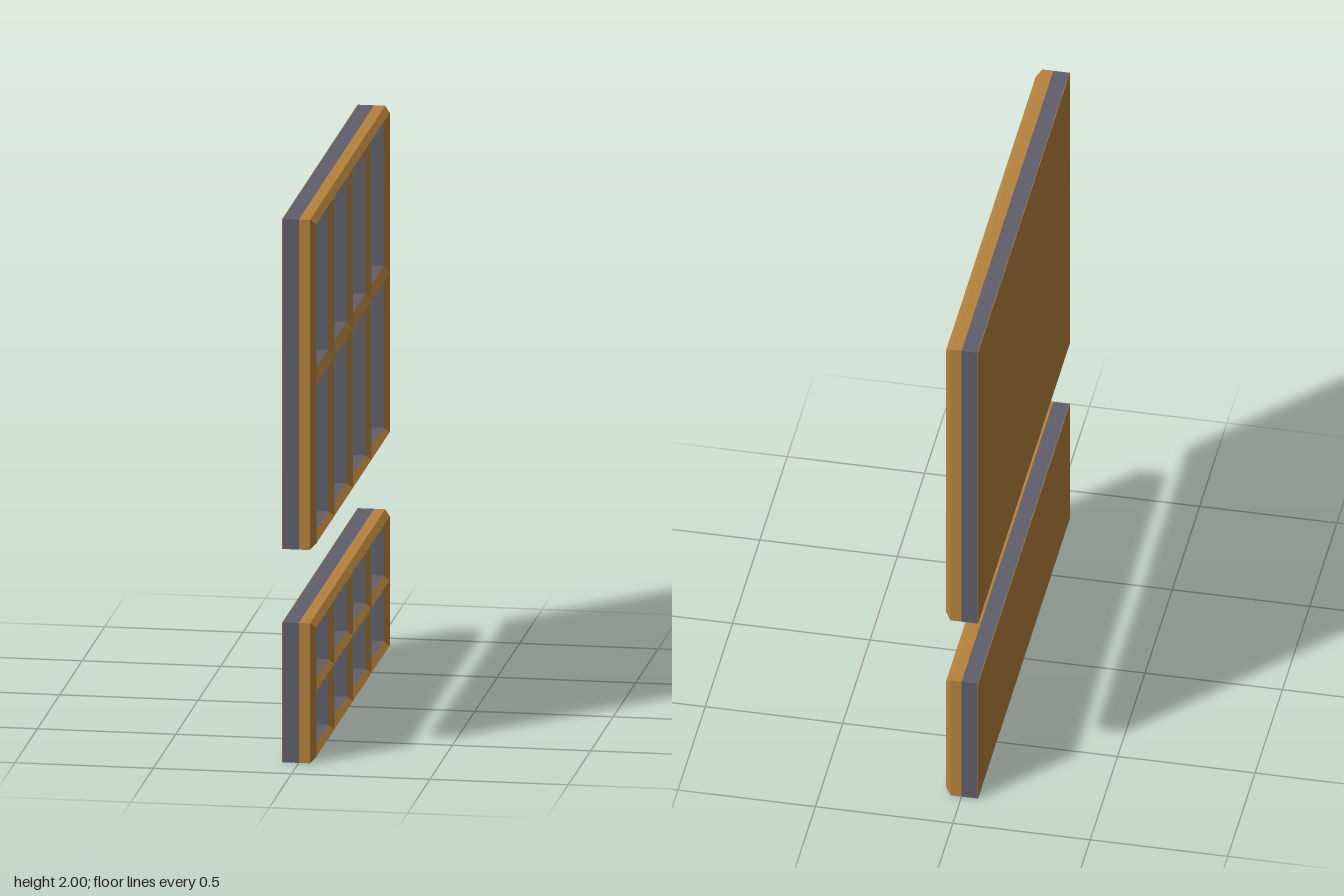
import * as THREE from 'three';

const BACK = -0.06, MID = 0, FACE = 0.04, RIDGE = 0.02; // depths along x
const HALF = 0.84;    // half length along z
const BORDER = 0.04;  // outer frame width
const MULLION = 0.037;

const wood = new THREE.MeshStandardMaterial({ color: 0xb5823c, flatShading: true });
const grey = new THREE.MeshStandardMaterial({ color: 0x5f5f6d, flatShading: true });
const glass = new THREE.MeshStandardMaterial({ color: 0x64afcd, flatShading: true });

function add(group, name, geometry, material) {
  const mesh = new THREE.Mesh(geometry, material);
  mesh.name = name;
  group.add(mesh);
  return mesh;
}

function rectangle(path, z0, y0, z1, y1) {
  path.moveTo(z0, y0);
  path.lineTo(z1, y0);
  path.lineTo(z1, y1);
  path.lineTo(z0, y1);
  path.closePath();
  return path;
}

// Plate in the z-y plane with rectangular holes, pushed out along +x
function pierced(outer, holes, x0, x1) {
  const shape = rectangle(new THREE.Shape(), ...outer);
  holes.forEach(h => shape.holes.push(rectangle(new THREE.Path(), ...h)));
  return new THREE.ExtrudeGeometry(shape, { depth: x1 - x0, bevelEnabled: false })
    .rotateY(Math.PI / 2).translate(x0, 0, 0);
}

// Ridged moulding; hip pulls the ridge in at both ends for mitred corners
function moulding(length, width, hip, vertical, y, z) {
  const section = new THREE.Shape();
  section.moveTo(-width / 2, 0);
  section.lineTo(width / 2, 0);
  section.lineTo(0, RIDGE);
  section.closePath();
  const geo = new THREE.ExtrudeGeometry(section, { depth: length, bevelEnabled: false });
  geo.translate(0, 0, -length / 2);
  const p = geo.attributes.position;
  for (let i = 0; i < p.count; i++) {
    if (p.getY(i) > RIDGE / 2) p.setZ(i, p.getZ(i) - Math.sign(p.getZ(i)) * hip);
  }
  geo.computeVertexNormals();
  geo.rotateZ(-Math.PI / 2);
  if (vertical) geo.rotateX(Math.PI / 2);
  return geo.translate(FACE, y, z);
}

function windowPanel(name, y0, y1, railY, railWidth) {
  const panel = new THREE.Group();
  panel.name = name;
  const height = y1 - y0, cy = (y0 + y1) / 2;
  const posts = [-0.412, 0, 0.412];

  // Casing, back board and outer trim
  add(panel, 'casing', new THREE.BoxGeometry(MID - BACK - 0.002, height, 2 * HALF)
    .translate((BACK + MID) / 2 + 0.001, cy, 0), grey);
  add(panel, 'backBoard', new THREE.BoxGeometry(0.002, height, 2 * HALF)
    .translate(BACK + 0.001, cy, 0), wood);
  const t = 0.01;
  const inner = [-HALF + t, y0 + t, HALF - t, y1 - t];
  add(panel, 'outerTrim', pierced([-HALF, y0, HALF, y1], [inner], MID, FACE), wood);

  // Pane openings between the posts and rails
  const zs = [-HALF + BORDER];
  posts.forEach(z => zs.push(z - MULLION / 2, z + MULLION / 2));
  zs.push(HALF - BORDER);
  const ys = [y0 + BORDER, railY - railWidth / 2, railY + railWidth / 2, y1 - BORDER];
  const cells = [];
  for (let i = 0; i < zs.length; i += 2) {
    for (let j = 0; j < ys.length; j += 2) cells.push([zs[i], ys[j], zs[i + 1], ys[j + 1]]);
  }
  add(panel, 'lattice', pierced(inner, cells, MID, FACE), grey);
  cells.forEach(([za, ya, zb, yb]) => {
    add(panel, 'pane', new THREE.PlaneGeometry(zb - za, yb - ya).rotateY(Math.PI / 2)
      .translate(MID + 0.002, (ya + yb) / 2, (za + zb) / 2), glass);
  });

  // Mitred border mouldings
  const b = BORDER / 2;
  [y0 + b, y1 - b].forEach(y =>
    add(panel, 'borderRail', moulding(2 * HALF, BORDER, b, false, y, 0), wood));
  [-HALF + b, HALF - b].forEach(z =>
    add(panel, 'borderPost', moulding(height, BORDER, b, true, cy, z), wood));

  // Inner mouldings
  add(panel, 'middleRail', moulding(2 * HALF - BORDER, railWidth, 0, false, railY, 0), wood);
  posts.forEach(z =>
    add(panel, 'mullion', moulding(height - BORDER, MULLION, 0, true, cy, z), wood));
  return panel;
}

export function createModel() {
  const model = new THREE.Group();
  model.name = 'windowPanels';
  model.add(windowPanel('upperWindow', 0.785, 2, 1.39, 0.06));
  model.add(windowPanel('lowerWindow', 0, 0.515, 0.26, 0.042));
  return model;
}
